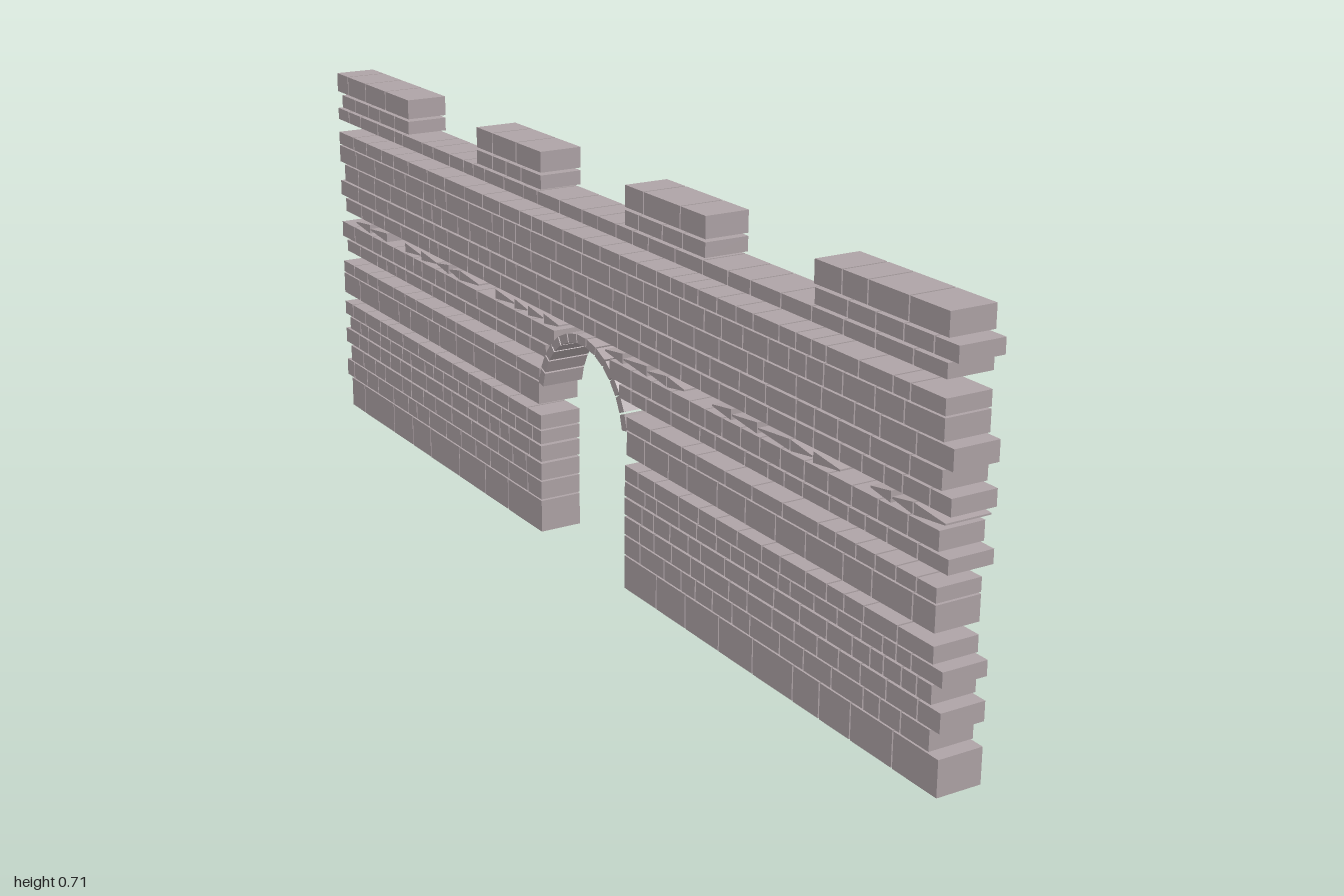
import * as THREE from 'three';
import { mergeGeometries } from 'three/addons/utils/BufferGeometryUtils.js';

const DEPTH = 0.08;          // wall thickness along x
const JOINT = 0.0035;        // open joint between stones
const DOOR = 0.147;          // half width of the gateway
const ARCH_Y = 0.26, ARCH_IN = 0.138, ARCH_OUT = 0.154;

// small seeded generator for the uneven stone lengths
let seed = 7;
const rand = () => (seed = (seed * 16807) % 2147483647) / 2147483647;

// the wall line runs very slightly askew
const wallX = (z) => -0.004 * z;

// one squared stone between z0 and z1
function stone(z0, z1, y0, y1) {
  const g = new THREE.BoxGeometry(DEPTH, y1 - y0, z1 - z0);
  const z = (z0 + z1) / 2;
  return g.translate(wallX(z), (y0 + y1) / 2, z);
}

// a run of stones with uneven lengths filling a..b
function run(a, b, y0, y1, mean) {
  const count = Math.max(1, Math.round((b - a) / mean));
  const lengths = Array.from({ length: count }, () => 0.6 + 0.8 * rand());
  const scale = (b - a) / lengths.reduce((s, l) => s + l, 0);
  let z = a;
  return lengths.map((l, i) => {
    const z0 = z;
    z += l * scale;
    return stone(z0, i === count - 1 ? b : z - JOINT, y0, y1);
  });
}

// a thin stone that tapers toward one end
function wedge(z0, z1, y0, y1, flip) {
  const g = stone(z0, z1, y0, y1);
  const p = g.attributes.position, mid = (y0 + y1) / 2;
  for (let i = 0; i < p.count; i++) {
    const t = (p.getZ(i) - z0) / (z1 - z0);
    const k = 0.15 + 0.85 * (flip ? 1 - t : t);
    p.setY(i, mid + (p.getY(i) - mid) * k);
  }
  g.computeVertexNormals();
  return g;
}

// distance from the centre line at which a course has to stop for the gateway
function openingAt(y0, y1) {
  if (y0 < ARCH_Y) return DOOR + (y0 > 0.23 ? 0.006 : 0);
  const h = (y0 + y1) / 2 - ARCH_Y;
  return h < ARCH_OUT ? Math.sqrt(ARCH_OUT ** 2 - h ** 2) + 0.003 : 0;
}

export function createModel() {
  seed = 7;
  const group = new THREE.Group();
  group.name = 'gatewayWall';
  const material = new THREE.MeshStandardMaterial({ color: 0xaea3a6, flatShading: true });
  const add = (name, parts) => {
    const mesh = new THREE.Mesh(mergeGeometries(parts), material);
    mesh.name = name;
    group.add(mesh);
  };

  // courses: bottom, top, mean stone length
  const courses = [
    [0, 0.06, 0.1], [0.063, 0.097, 0.06], [0.1, 0.132, 0.058], [0.136, 0.166, 0.052],
    [0.17, 0.195, 0.05], [0.198, 0.225, 0.06],
    [0.245, 0.287, 0.075], [0.29, 0.313, 0.065], [0.34, 0.363, 0.06], [0.367, 0.398, 0.06],
    [0.425, 0.452, 0.06], [0.456, 0.486, 0.065], [0.49, 0.523, 0.065], [0.526, 0.56, 0.065],
    [0.563, 0.588, 0.06], [0.615, 0.638, 0.065],
  ];
  courses.forEach(([y0, y1, mean], i) => {
    // toothed ends: alternate courses step in at opposite ends
    const even = i % 2 === 0 && i !== 6 && i !== 14;
    const front = even ? 1 : 0.978, back = even ? -0.978 : -1;
    const open = openingAt(y0, y1);
    const parts = open
      ? [...run(back, -open, y0, y1, mean), ...run(open, front, y0, y1, mean)]
      : run(back, front, y0, y1, mean);
    add('course' + (i + 1), parts);
  });

  // levelling course of thin tapered stones, with some missing
  const shims = [];
  for (const side of [-1, 1]) {
    let z = 0.08;
    for (let i = 0; z < 0.93; i++) {
      const end = Math.min(z + 0.04 + 0.045 * rand(), side > 0 ? 1 : 0.98);
      const a = side > 0 ? z : -end, b = side > 0 ? end : -z;
      if (i % 6 !== 4) shims.push(wedge(a, b, 0.402, 0.42, rand() > 0.6));
      z = end + JOINT;
    }
  }
  add('levellingCourse', shims);

  // arch ring of flat voussoirs
  const voussoirs = [];
  const n = 13, from = 0.16, step = (Math.PI - 2 * from) / n;
  for (let i = 0; i < n; i++) {
    const a = from + i * step + 0.012, b = from + (i + 1) * step - 0.012;
    const at = (r, t) => new THREE.Vector2(r * Math.cos(t), ARCH_Y + r * Math.sin(t));
    const shape = new THREE.Shape([at(ARCH_IN, a), at(ARCH_OUT, a), at(ARCH_OUT, b), at(ARCH_IN, b)]);
    const g = new THREE.ExtrudeGeometry(shape, { depth: DEPTH, bevelEnabled: false });
    voussoirs.push(g.translate(0, 0, -DEPTH / 2).rotateY(Math.PI / 2));
  }
  add('archRing', voussoirs);

  // four merlons, two courses each: lower ends, then upper ends
  const merlons = [
    [0.675, 1, 0.672, 0.978], [0.145, 0.385, 0.145, 0.385],
    [-0.38, -0.14, -0.38, -0.14], [-0.978, -0.668, -1, -0.668],
  ];
  merlons.forEach(([a, b, c, d], i) => {
    add('merlon' + (i + 1), [
      ...run(a, b, 0.643, 0.668, 0.06),
      ...run(c, d, 0.673, 0.71, 0.075),
    ]);
  });

  return group;
}
